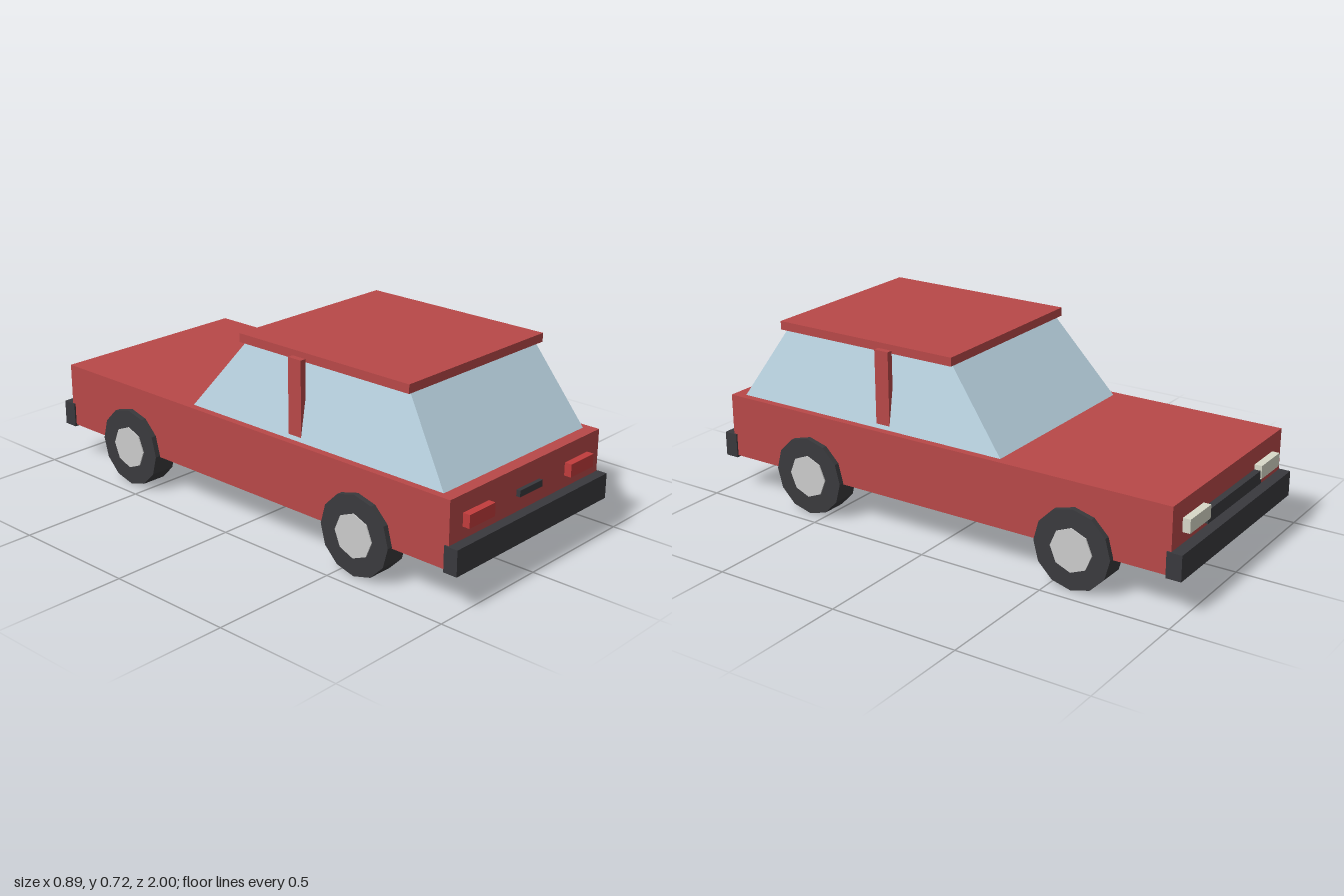
import * as THREE from 'three';

const mat = (color) => new THREE.MeshStandardMaterial({ color, flatShading: true });

export function createModel() {
  const car = new THREE.Group();
  const red = mat(0xb84848), glass = mat(0xbcd6e4), dark = mat(0x39393d);
  const rubber = mat(0x3a3a3d), metal = mat(0xc4c4c8), tail = mat(0xc23c3c), lamp = mat(0xd8d8c8);

  const add = (name, geometry, material) => {
    const mesh = new THREE.Mesh(geometry, material);
    mesh.name = name;
    car.add(mesh);
    return mesh;
  };
  // Box given by its extents on each axis
  const box = (name, material, [x0, x1], [y0, y1], [z0, z1]) =>
    add(name, new THREE.BoxGeometry(x1 - x0, y1 - y0, z1 - z0), material)
      .position.set((x0 + x1) / 2, (y0 + y1) / 2, (z0 + z1) / 2);

  // Body and roof
  box('body', red, [-0.422, 0.422], [0.148, 0.397], [-0.957, 0.96]);
  box('roof', red, [-0.368, 0.368], [0.685, 0.718], [-0.045, 0.737]);

  // Glasshouse: a box narrowed towards the roof
  const cabin = new THREE.BoxGeometry(2, 1, 1);
  const p = cabin.attributes.position;
  for (let i = 0; i < p.count; i++) {
    const top = p.getY(i) > 0, rear = p.getZ(i) > 0;
    p.setXYZ(i,
      p.getX(i) * (top ? 0.345 : 0.394),
      top ? 0.688 : 0.395,
      rear ? (top ? 0.72 : 0.912) : (top ? -0.03 : -0.27));
  }
  cabin.computeVertexNormals();
  add('windows', cabin, glass);

  // Bumpers, grille and rear handle
  box('rearBumper', dark, [-0.428, 0.428], [0.14, 0.236], [0.945, 1]);
  box('frontBumper', dark, [-0.428, 0.428], [0.14, 0.236], [-1, -0.942]);
  box('grille', dark, [-0.21, 0.21], [0.262, 0.312], [-0.982, -0.95]);
  box('rearHandle', dark, [-0.064, 0.064], [0.295, 0.319], [0.95, 0.976]);

  // Mirrored parts
  for (const s of [-1, 1]) {
    const side = s > 0 ? 'left' : 'right';
    const span = (a, b) => (s > 0 ? [a, b] : [-b, -a]);
    box(side + 'TailLight', tail, span(0.217, 0.353), [0.282, 0.331], [0.95, 0.988]);
    box(side + 'Headlight', lamp, span(0.2, 0.35), [0.28, 0.331], [-0.986, -0.945]);
    box(side + 'Pillar', red, span(0.367, 0.391), [0.41, 0.696], [0.216, 0.276]);

    // Wheels with hubs standing slightly proud
    for (const [end, z] of [['Rear', 0.57], ['Front', -0.59]]) {
      const tyre = add(side + end + 'Tyre', new THREE.CylinderGeometry(0.152, 0.152, 0.098, 12), rubber);
      const hub = add(side + end + 'Hub', new THREE.CylinderGeometry(0.083, 0.083, 0.107, 8), metal);
      for (const part of [tyre, hub]) {
        part.rotation.z = Math.PI / 2;
        part.position.set(s * 0.394, 0.153, z);
      }
    }
  }
  return car;
}
